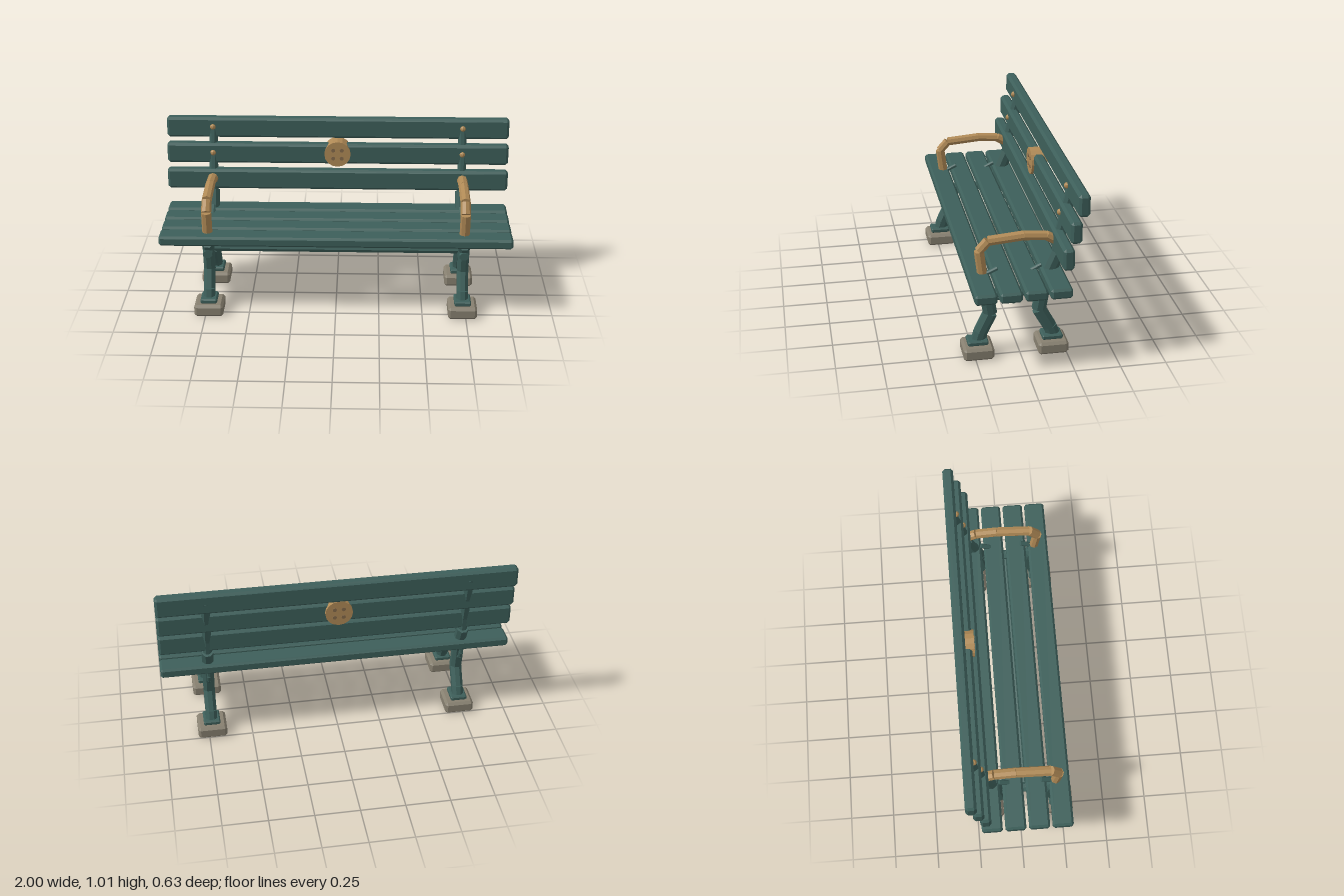
import * as THREE from 'three';
import { ConvexGeometry } from 'three/addons/geometries/ConvexGeometry.js';

const mat = (name, color) => {
  const m = new THREE.MeshStandardMaterial({ color, flatShading: true });
  m.name = name;
  return m;
};

export function createModel() {
  const green = mat('painted green', 0x3d5f5a);
  const bronze = mat('bronze', 0xb08a56);
  const darkBronze = mat('dark bronze', 0x84694a);
  const stone = mat('stone', 0x878070);
  const bench = new THREE.Group();
  bench.name = 'bench';

  const add = (parent, name, geometry, material, x = 0, y = 0, z = 0) => {
    const mesh = new THREE.Mesh(geometry, material);
    mesh.name = name;
    mesh.position.set(x, y, z);
    parent.add(mesh);
    return mesh;
  };

  // Box with every edge cut at 45 degrees
  const chamferBox = (w, h, d, c) => {
    const half = [w / 2, h / 2, d / 2], points = [];
    for (const sx of [-1, 1]) for (const sy of [-1, 1]) for (const sz of [-1, 1])
      for (let axis = 0; axis < 3; axis++) {
        const p = half.map((v, i) => (i === axis ? v : v - c));
        points.push(new THREE.Vector3(sx * p[0], sy * p[1], sz * p[2]));
      }
    return new ConvexGeometry(points);
  };

  // Row of straight faceted bars along [z, y] points; rx is half the width in x
  const bars = (parent, name, path, rx, rz, material, turn = Math.PI / 8) => {
    const group = new THREE.Group();
    group.name = name;
    for (let i = 0; i < path.length - 1; i++) {
      const [z0, y0] = path[i], [z1, y1] = path[i + 1];
      const dz = z1 - z0, dy = y1 - y0;
      const g = new THREE.CylinderGeometry(1, 1, Math.hypot(dz, dy), 8);
      g.rotateY(turn);
      const fit = turn ? 1 / Math.cos(Math.PI / 8) : 1;
      g.scale(rx * fit, 1, rz * fit);
      const bar = add(group, name + 'Bar', g, material, 0, (y0 + y1) / 2, (z0 + z1) / 2);
      bar.rotation.x = Math.atan2(dz, dy);
    }
    parent.add(group);
  };

  const arc = (cz, cy, rz, ry, from, to, n) => Array.from({ length: n + 1 }, (_, i) => {
    const a = THREE.MathUtils.degToRad(from + (to - from) * i / n);
    return [cz + rz * Math.cos(a), cy + ry * Math.sin(a)];
  });

  // Seat and back slats
  [0.225, 0.093, -0.04, -0.172].forEach(z =>
    add(bench, 'seatSlat', chamferBox(2, 0.058, 0.117, 0.012), green, 0, 0.464, z));
  [[0.655, -0.205], [0.804, -0.241], [0.951, -0.278]].forEach(([y, z]) =>
    add(bench, 'backSlat', chamferBox(2, 0.122, 0.061, 0.014), green, 0, y, z));

  // Two identical iron end frames
  for (const side of [1, -1]) {
    const frame = new THREE.Group();
    frame.name = side > 0 ? 'leftFrame' : 'rightFrame';
    frame.position.x = side * 0.73;
    bench.add(frame);

    for (const z of [0.232, -0.177]) {
      add(frame, 'footBlock', chamferBox(0.166, 0.072, 0.166, 0.014), stone, 0, 0.036, z);
      add(frame, 'footPlate', chamferBox(0.095, 0.028, 0.113, 0.007), green, 0, 0.086, z);
    }
    bars(frame, 'frontLeg', [[0.226, 0.09], [0.213, 0.137], [0.161, 0.247], [0.185, 0.395], [0.225, 0.44]],
      0.032, 0.037, green);
    bars(frame, 'rearLeg', [[-0.186, 0.09], [-0.168, 0.137], [-0.106, 0.247], [-0.13, 0.39], [-0.15, 0.45], [-0.205, 0.58]],
      0.032, 0.037, green);
    bars(frame, 'backStrut', [[-0.203, 0.58], [-0.21, 0.66], [-0.243, 0.81], [-0.281, 0.962]],
      0.024, 0.03, green);
    bars(frame, 'sideRail', [[0.235, 0.364], [-0.13, 0.361]], 0.026, 0.022, green);

    // Curled brackets below the seat, with their tips showing above it
    bars(frame, 'frontScroll', arc(0.125, 0.425, 0.087, 0.095, 195, 375, 7), 0.012, 0.011, green);
    bars(frame, 'rearScroll', arc(-0.125, 0.425, 0.083, 0.095, 165, 375, 8), 0.012, 0.011, green);
    bars(frame, 'frontScrollTip', [[0.122, 0.512], [0.18, 0.485]], 0.014, 0.011, green);
    bars(frame, 'rearScrollTip', [[-0.115, 0.513], [-0.06, 0.485]], 0.014, 0.011, green);

    // Armrest and back bolts
    bars(frame, 'armrest', [[0.203, 0.485], [0.22, 0.62], [0.172, 0.674], [-0.02, 0.69], [-0.14, 0.681], [-0.185, 0.655]],
      0.029, 0.027, bronze, 0);
    for (const [y, z] of [[0.81, -0.212], [0.958, -0.246]])
      add(frame, 'backBolt', new THREE.SphereGeometry(0.017, 8, 6), bronze, 0, y, z);
  }

  // Long stretcher under the seat
  const rod = new THREE.CylinderGeometry(0.025, 0.025, 1.46, 8).rotateZ(Math.PI / 2);
  add(bench, 'stretcher', rod, green, 0, 0.314, 0.032);

  // Round medallion through the middle slat, with four studs on each face
  const disc = new THREE.CylinderGeometry(0.077, 0.077, 0.092, 16).rotateX(Math.PI / 2);
  add(bench, 'medallion', disc, bronze, 0, 0.81, -0.243);
  for (const z of [-0.197, -0.289]) for (const sx of [-1, 1]) for (const sy of [-1, 1]) {
    const stud = new THREE.CylinderGeometry(0.012, 0.012, 0.006, 8).rotateX(Math.PI / 2);
    add(bench, 'medallionStud', stud, darkBronze, sx * 0.025, 0.81 + sy * 0.025, z);
  }
  return bench;
}
